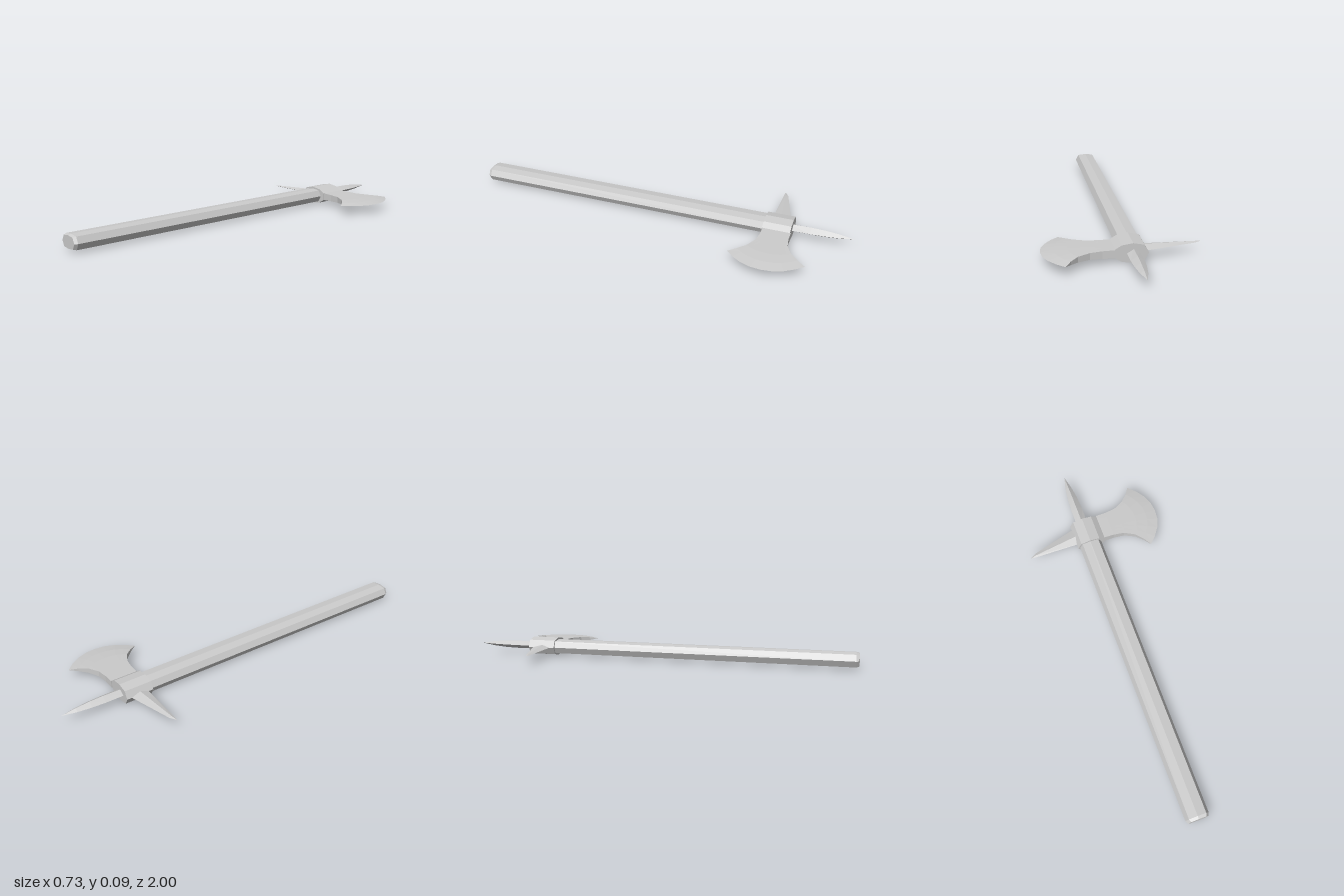
import * as THREE from 'three';

const material = new THREE.MeshStandardMaterial({ color: 0xcccccc, flatShading: true });

// Skins a list of equal-length rings, counter-clockwise seen from the direction of travel
function loft(name, rings) {
  const pos = [];
  const tri = (a, b, c) => pos.push(...a, ...b, ...c);
  const n = rings[0].length;
  const cap = (ring, start) => {
    const mid = [0, 1, 2].map(k => ring.reduce((s, p) => s + p[k], 0) / n);
    ring.forEach((p, i) => {
      const q = ring[(i + 1) % n];
      start ? tri(mid, q, p) : tri(mid, p, q);
    });
  };
  for (let r = 0; r < rings.length - 1; r++) {
    for (let i = 0; i < n; i++) {
      const j = (i + 1) % n, a = rings[r], b = rings[r + 1];
      tri(a[i], a[j], b[j]);
      tri(a[i], b[j], b[i]);
    }
  }
  cap(rings[0], true);
  cap(rings[rings.length - 1], false);
  const g = new THREE.BufferGeometry();
  g.setAttribute('position', new THREE.Float32BufferAttribute(pos, 3));
  g.computeVertexNormals();
  const mesh = new THREE.Mesh(g, material);
  mesh.name = name;
  return mesh;
}

export function createModel() {
  const group = new THREE.Group();
  group.name = 'axe';
  const cx = -0.036, headZ = -0.632;

  // Handle: flattened octagon with a bevelled butt
  const octagon = (w, h, z) => [
    [0, 1], [0.74, 0.86], [1, 0], [0.74, -0.86],
    [0, -1], [-0.74, -0.86], [-1, 0], [-0.74, 0.86],
  ].map(([x, y]) => [cx + x * w, y * h, z]);
  group.add(loft('handle', [
    octagon(0.052, 0.031, 1), octagon(0.06, 0.036, 0.985), octagon(0.06, 0.036, -0.695),
  ]));

  // Collar: wraps the handle and flares into the blade root
  const collarTop = [[-0.036, 0.046], [0.015, 0.038], [0.045, 0.019]];
  const collarBack = [[-0.087, -0.036], [-0.107, 0], [-0.087, 0.036]];
  const profile = [
    ...collarTop,
    ...collarTop.slice().reverse().map(([x, y]) => [x, -y]),
    ...collarBack,
  ];
  group.add(loft('collar', [-0.56, -0.7].map(z => profile.map(([x, y]) => [x, y, z]))));

  // Blade: rows of [corner x, half width, edge bulge, half thickness]
  const steps = [-1, -0.8, -0.55, -0.28, 0, 0.28, 0.55, 0.8, 1];
  const rows = [
    [0.044, 0.07, 0, 0.019],
    [0.1, 0.071, 0, 0.0175],
    [0.155, 0.079, 0.01, 0.0155],
    [0.21, 0.108, 0.035, 0.013],
    [0.245, 0.146, 0.062, 0.008],
    [0.271, 0.186, 0.094, 0],
  ];
  group.add(loft('blade', rows.map(([x, w, bulge, t]) => {
    const row = (v, y) => [x + bulge * (1 - Math.abs(v) ** 2.2), y, headZ - 0.002 + v * w];
    return [...steps.map(v => row(v, t)), ...steps.slice().reverse().map(v => row(v, -t))];
  })));

  // Side pick: diamond sections of [x, back z, ridge z, front z, half height]
  group.add(loft('sidePick', [
    [-0.09, -0.68, -0.628, -0.584, 0.0135],
    [-0.335, -0.611, -0.598, -0.588, 0.004],
    [-0.365, -0.592, -0.59, -0.588, 0.0005],
  ].map(([x, back, ridge, front, h]) => [[x, h, ridge], [x, 0, back], [x, -h, ridge], [x, 0, front]])));

  // End spike: diamond sections of [z, half width, half height]
  group.add(loft('endSpike', [
    [-0.68, 0.03, 0.018], [-0.79, 0.03, 0.02], [-0.86, 0.026, 0.018],
    [-0.93, 0.017, 0.012], [-1, 0.0005, 0.0005],
  ].map(([z, w, h]) => [[-0.039, h, z], [-0.039 + w, 0, z], [-0.039, -h, z], [-0.039 - w, 0, z]])));

  group.children.forEach(m => { m.position.y = 0.046; });
  return group;
}
